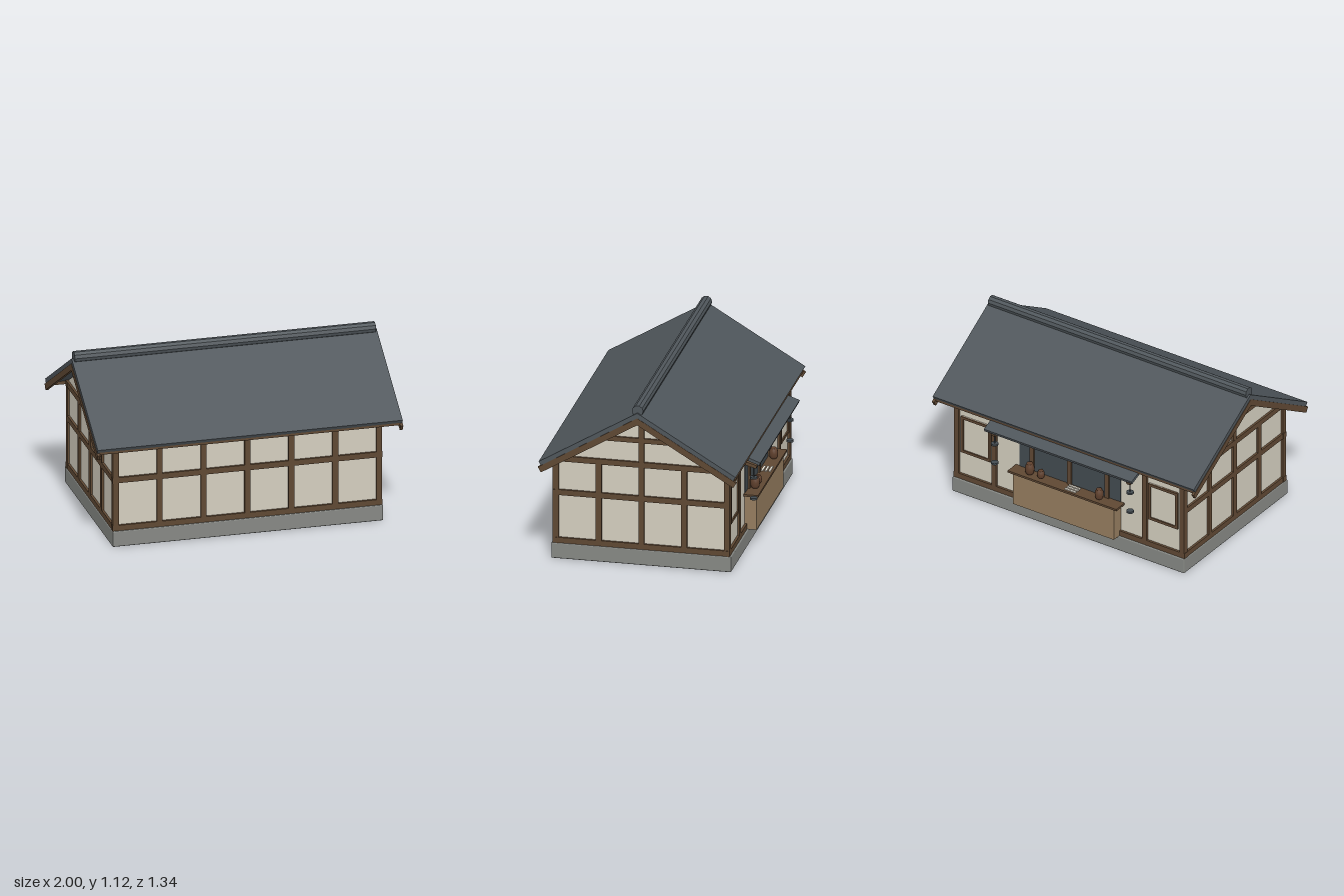
import * as THREE from 'three';
import { RoundedBoxGeometry } from 'three/addons/geometries/RoundedBoxGeometry.js';

const mat = (name, color, extra = {}) => {
  const m = new THREE.MeshStandardMaterial({ color, ...extra });
  m.name = name;
  return m;
};

export function createModel() {
  const roofMat = mat('slate tile', 0x4f565b, { flatShading: true });
  const timber = mat('dark timber', 0x5f4833);
  const plaster = mat('cream plaster', 0xd4cebf);
  const stone = mat('grey stone', 0x868884);
  const plank = mat('light wood', 0x957d5f);
  const dark = mat('dark metal', 0x434b50);
  const clay = mat('brown clay', 0x5f402d);
  const paper = mat('pale paper', 0xe8e2d4);

  const model = new THREE.Group();
  const house = new THREE.Group();
  house.name = 'house';
  house.position.z = 0.027;
  model.add(house);

  const add = (name, geo, m, x = 0, y = 0, z = 0) => {
    const mesh = new THREE.Mesh(geo, m);
    mesh.name = name;
    mesh.position.set(x, y, z);
    house.add(mesh);
    return mesh;
  };
  const box = (name, m, w, h, d, x, y, z) => add(name, new THREE.BoxGeometry(w, h, d), m, x, y, z);

  // Side profile given as [z, y] points, extruded along x around the given centre
  const profile = (name, m, pts, width, x) => {
    const shape = new THREE.Shape(pts.map(([z, y]) => new THREE.Vector2(-z, y)));
    const geo = new THREE.ExtrudeGeometry(shape, { depth: width, bevelEnabled: false });
    geo.rotateY(Math.PI / 2).translate(-width / 2, 0, 0);
    return add(name, geo, m, x);
  };

  // Stone base and plastered walls with gables
  const base = add('stoneBase', new RoundedBoxGeometry(1.77, 0.104, 1.165, 2, 0.006), stone, 0, 0.052, 0);
  base.geometry.computeBoundingBox();
  profile('walls', plaster, [[0.557, 0.1], [0.557, 0.7], [0, 1.03], [-0.557, 0.7], [-0.557, 0.1]], 1.73, 0);

  // Posts on the long sides and the gable ends
  const T = 0.037, X = 0.8615, Z = 0.5545;
  const post = (x, z) => box('post', timber, T, 0.59, T, x, 0.395, z);
  for (let i = -3; i <= 3; i++) {
    post(i * X / 3, Z);
    if (Math.abs(i) > 1) post(i * X / 3, -Z);
  }
  for (const s of [-1, 1]) for (const z of [-0.277, 0, 0.277]) post(s * X, z);

  // Horizontal beams
  for (const y of [0.122, 0.446, 0.675]) {
    box('frontBeam', timber, 1.765, T, T, 0, y, Z);
    if (y !== 0.446) box('backBeam', timber, 1.765, T, T, 0, y, -Z);
    for (const s of [-1, 1]) box('gableBeam', timber, T, T, 1.146, s * X, y, 0);
  }
  for (const s of [-1, 1]) {
    box('upperGableBeam', timber, 0.034, 0.032, 0.62, s * X, 0.838, 0);
    box('kingPost', timber, 0.034, 0.33, T, s * X, 0.845, 0);
  }

  // Roof: two sloping slabs in one chevron, ends cut square to the slope
  const k = 0.597;
  const chevron = (top, thick, reach) => {
    const n = Math.hypot(1, k), dz = thick * k / n, dy = thick / n;
    const ye = top - reach * k;
    return [[reach, ye], [0, top], [-reach, ye], [-reach + dz, ye - dy],
      [0, top - thick * n], [reach - dz, ye - dy]];
  };
  profile('roof', roofMat, chevron(1.071, 0.03, 0.638), 1.995, 0);
  for (const s of [-1, 1]) {
    profile('bargeBoard', timber, chevron(1.037, 0.04, 0.643), 0.018, s * 0.991);
    box('eaveBoard', timber, 1.97, 0.022, 0.02, 0, 0.664, s * 0.615);
  }
  const ridge = new THREE.CylinderGeometry(0.037, 0.037, 1.97, 10);
  ridge.rotateZ(Math.PI / 2);
  add('ridgeCap', ridge, roofMat, 0, 1.081, 0);

  // Framed shutters beside the shop opening
  for (const s of [-1, 1]) {
    const x = s * 0.715, y = 0.435, w = 0.225, h = 0.265, b = 0.018, z = -0.562;
    box('shutterPanel', plaster, w, h, 0.008, x, y, -0.559);
    for (const t of [-1, 1]) {
      box('shutterRail', timber, w, b, 0.02, x, y + t * (h - b) / 2, z);
      box('shutterStile', timber, b, h, 0.02, x + t * (w - b) / 2, y, z);
    }
  }

  // Shop opening with its mullions
  box('shopOpening', dark, 0.77, 0.33, 0.008, 0, 0.493, -0.557);
  for (const i of [-1, 0, 1]) box('shopMullion', timber, 0.032, 0.35, 0.03, i * X / 3, 0.5, -0.558);

  // Counter
  box('counter', plank, 0.77, 0.232, 0.08, 0, 0.22, -0.595);
  box('counterTop', timber, 0.83, 0.014, 0.1, 0, 0.342, -0.602);

  // Clay pots and folded papers on the counter
  const pot = (x, r, h) => {
    const pts = [[0, 0], [0.7, 0], [0.95, 0.2], [1, 0.5], [0.92, 0.78], [0.65, 0.93], [0.68, 1], [0, 1]];
    const geo = new THREE.LatheGeometry(pts.map(([a, b]) => new THREE.Vector2(a * r, b * h)), 14);
    add('clayPot', geo, clay, x, 0.349, -0.602);
  };
  pot(0.28, 0.03, 0.078);
  pot(0.195, 0.024, 0.053);
  pot(-0.25, 0.028, 0.07);
  for (const i of [-1, 0, 1]) box('paperStrip', paper, 0.085, 0.007, 0.014, -0.05, 0.352, -0.605 + i * 0.024);

  // Awning, its brackets and the hanging lantern caps
  box('awning', roofMat, 1.128, 0.02, 0.142, 0, 0.645, -0.63).rotation.x = -0.35;
  for (const s of [-1, 1]) {
    const x = s * 0.517, z = -0.647;
    box('awningBracket', timber, 0.03, 0.022, 0.1, x, 0.6, -0.62).rotation.x = -0.29;
    add('lanternRod', new THREE.CylinderGeometry(0.004, 0.004, 0.075, 8), dark, x, 0.55, z);
    for (const y of [0.51, 0.37]) {
      add('lanternCap', new THREE.CylinderGeometry(0.024, 0.024, 0.012, 12), dark, x, y, z);
    }
  }
  return model;
}
